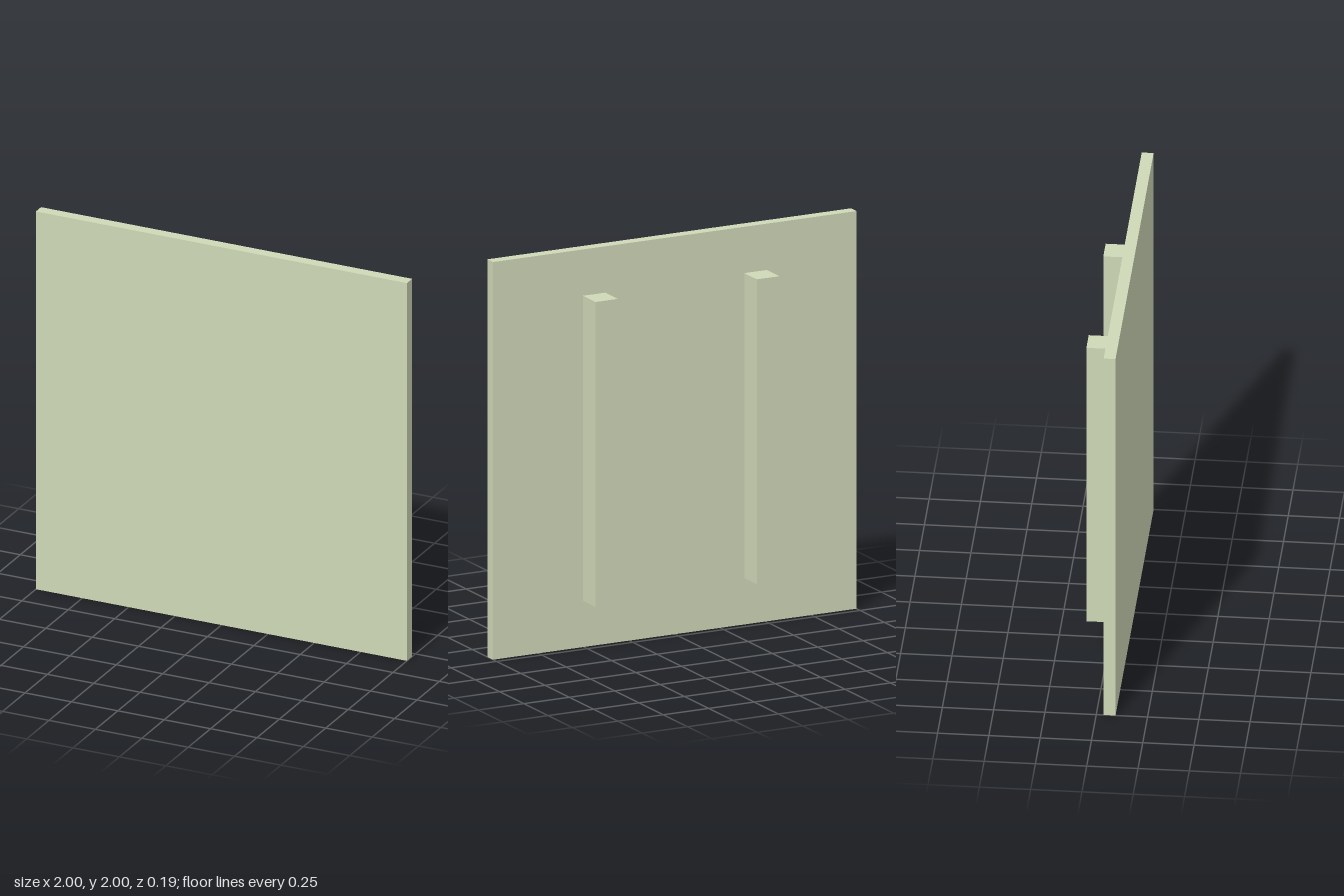
import * as THREE from 'three';

export function createModel() {
  const model = new THREE.Group();
  const material = new THREE.MeshStandardMaterial({ color: 0xd0d9b8 });

  function addBox(name, size, position) {
    const mesh = new THREE.Mesh(new THREE.BoxGeometry(...size), material);
    mesh.name = name;
    mesh.position.set(...position);
    model.add(mesh);
  }

  const front = 0.094; // half of the total depth
  const panelBack = 0.036;

  // Square front panel
  addBox('panel', [2, 2, front - panelBack], [0, 1, (front + panelBack) / 2]);

  // Two upright battens on the back
  for (const side of [-1, 1]) {
    addBox(side > 0 ? 'leftBatten' : 'rightBatten',
      [0.123, 1.534, panelBack + front],
      [side * 0.444, 1, (panelBack - front) / 2]);
  }

  return model;
}
